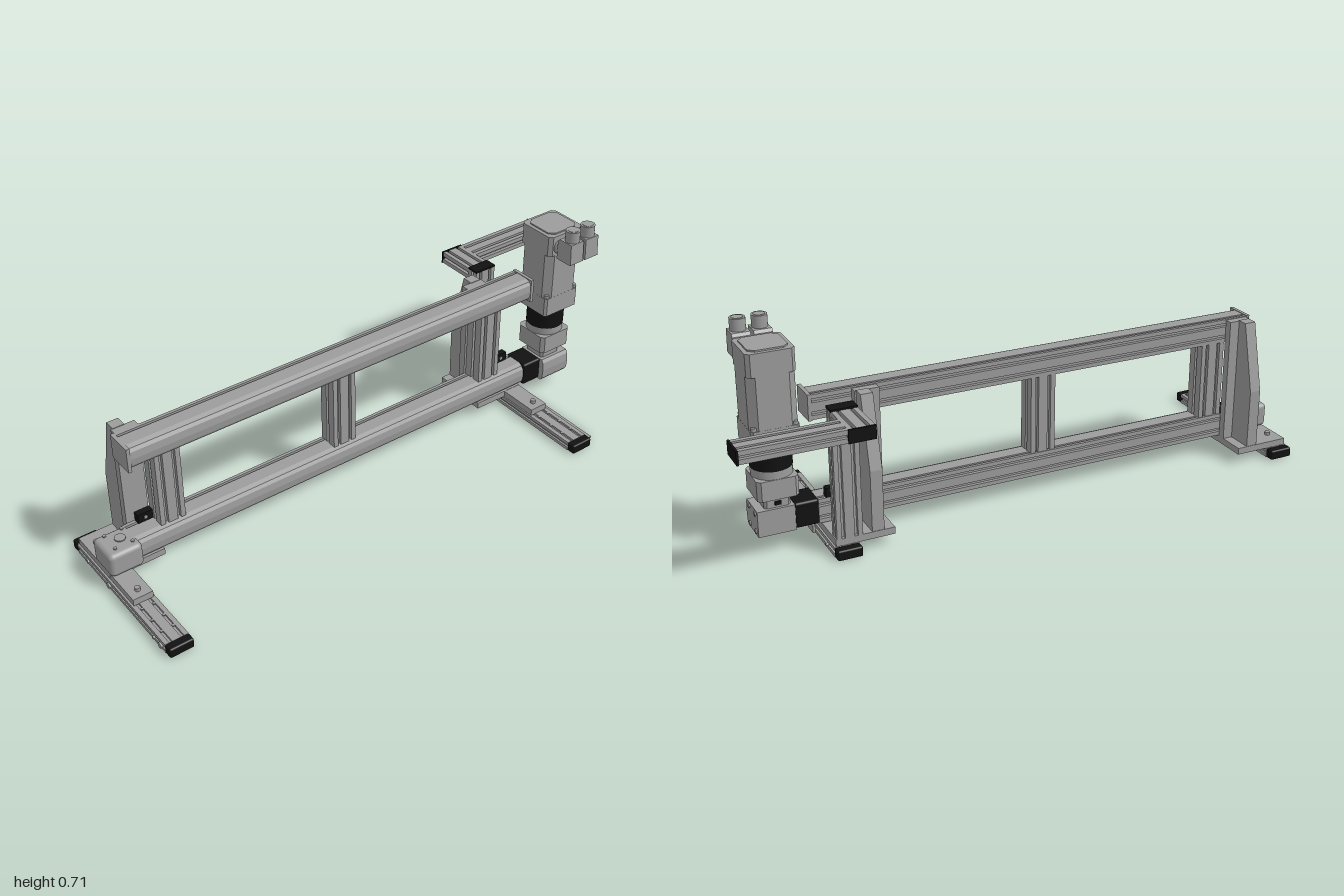
import * as THREE from 'three';
import { RoundedBoxGeometry } from 'three/addons/geometries/RoundedBoxGeometry.js';

const grey = new THREE.MeshStandardMaterial({ color: 0x9c9c9c });
grey.name = 'aluminium grey';
const black = new THREE.MeshStandardMaterial({ color: 0x111111 });
black.name = 'plastic black';

export function createModel() {
  const root = new THREE.Group();
  const add = (name, geo, mat = grey) => {
    const m = new THREE.Mesh(geo, mat);
    m.name = name;
    root.add(m);
    return m;
  };
  // Box given by its limits on each axis
  const box = (name, x0, x1, y0, y1, z0, z1, mat, r = 0) => {
    const s = [x1 - x0, y1 - y0, z1 - z0];
    const g = r ? new RoundedBoxGeometry(...s, 3, r) : new THREE.BoxGeometry(...s);
    g.translate((x0 + x1) / 2, (y0 + y1) / 2, (z0 + z1) / 2);
    return add(name, g, mat);
  };
  // Cylinder centred at a point along an axis
  const cyl = (name, r, len, axis, x, y, z, mat, sides = 32) => {
    const g = new THREE.CylinderGeometry(r, r, len, sides);
    if (axis === 'x') g.rotateZ(Math.PI / 2);
    if (axis === 'z') g.rotateX(Math.PI / 2);
    g.translate(x, y, z);
    return add(name, g, mat);
  };
  // Section of [z, y] points swept from x0 to x1
  const sweepX = (name, pts, x0, x1, mat) => {
    const shape = new THREE.Shape(pts.map(([z, y]) => new THREE.Vector2(-z, y)));
    const g = new THREE.ExtrudeGeometry(shape, { depth: x1 - x0, bevelEnabled: false });
    g.rotateY(Math.PI / 2).translate(x0, 0, 0);
    return add(name, g, mat);
  };
  // Extruded rail, slotted at given offsets on its long (nu) and short (nv) sides
  const railGeo = (w, h, len, nu = 1, nv = 1, sw = 0.011, sd = 0.012) => {
    const p = [];
    const side = (size, n, map) => {
      p.push(map(0, 0));
      for (let i = 0; i < n; i++) {
        const c = size * (i + 0.5) / n;
        p.push(map(c - sw / 2, 0), map(c - sw / 2, sd), map(c + sw / 2, sd), map(c + sw / 2, 0));
      }
    };
    side(w, nu, (a, d) => [a, d]);
    side(h, nv, (a, d) => [w - d, a]);
    side(w, nu, (a, d) => [w - a, h - d]);
    side(h, nv, (a, d) => [d, h - a]);
    const s = new THREE.Shape(p.map(([a, b]) => new THREE.Vector2(a - w / 2, b - h / 2)));
    return new THREE.ExtrudeGeometry(s, { depth: len, bevelEnabled: false }).translate(0, 0, -len / 2);
  };

  // Two long beams: slotted rear, smooth chamfered front cover
  const beam = (name, x0, x1, y) => sweepX(name, [
    [-0.093, 0], [-0.093, 0.014], [-0.081, 0.014], [-0.081, 0.026], [-0.093, 0.026],
    [-0.093, 0.056], [-0.081, 0.056], [-0.081, 0.068], [-0.093, 0.068], [-0.093, 0.082],
    [-0.082, 0.082], [-0.082, 0.072], [-0.073, 0.072], [-0.073, 0.082],
    [-0.025, 0.082], [-0.01, 0.076], [-0.003, 0.065], [0, 0.041],
    [-0.003, 0.017], [-0.01, 0.006], [-0.025, 0],
    [-0.045, 0], [-0.045, 0.01], [-0.057, 0.01], [-0.057, 0],
  ].map(([z, h]) => [z, h + y]), x0, x1);
  beam('lowerBeam', -0.9, 0.685, 0.06);
  beam('upperBeam', -0.885, 0.695, 0.41);
  box('upperBeamEndPlate', -0.895, -0.883, 0.408, 0.494, -0.095, 0.001);
  box('upperBeamEndPlate', 0.69, 0.702, 0.408, 0.494, -0.095, 0.001);

  // Uprights joining the beams
  for (const x of [-0.755, -0.097, 0.53]) {
    const post = add('beamUpright', railGeo(0.088, 0.07, 0.27, 2, 1));
    post.geometry.rotateX(Math.PI / 2).translate(x, 0.276, -0.055);
  }

  // Left end block of the lower beam with its cover disc and screws
  box('beamEndBlock', -1, -0.885, 0.058, 0.143, -0.095, 0.02, grey, 0.016);
  cyl('endBlockDisc', 0.018, 0.005, 'y', -0.93, 0.144, -0.045);
  for (const dx of [-0.035, 0.025]) for (const dz of [-0.035, 0.035])
    cyl('endBlockScrew', 0.006, 0.006, 'y', -0.93 + dx, 0.144, -0.045 + dz, grey, 12);

  // Feet and bracket assemblies; s points from the foot to the machine middle
  for (const [x, s] of [[-0.96, 1], [0.642, -1]]) {
    const span = (name, a, b, ...rest) => box(name, Math.min(x + s * a, x + s * b), Math.max(x + s * a, x + s * b), ...rest);
    add('footRail', railGeo(0.08, 0.033, 0.545, 2, 1, 0.01, 0.007)).position.set(x, 0.0165, 0.0575);
    span('footEndCap', -0.041, 0.041, 0, 0.034, 0.328, 0.36, black, 0.006);
    span('footEndCap', -0.041, 0.041, 0, 0.034, -0.247, -0.214, black, 0.006);
    span('footPlate', -0.033, 0.035, 0.032, 0.056, -0.02, 0.134);
    span('basePlate', -0.034, 0.16, 0.034, 0.057, -0.214, -0.01);
    for (const z of [0.102, -0.16]) cyl('footBolt', 0.009, 0.014, 'y', x, 0.061, z, grey, 16);
    for (const z of [0.16, 0.22, 0.275]) for (const d of [-0.02, 0.02])
      cyl('footScrew', 0.005, 0.003, 'y', x + d, 0.0335, z, grey, 12);
    for (const z of [0.303, 0.264, -0.012, -0.147])
      cyl('footSideScrew', z === 0.303 || z === -0.012 ? 0.01 : 0.005, 0.01, 'x', x - s * 0.04, 0.012, z, grey, 16);

    // Upright plate with a tapered rib
    span('bracketPlate', 0.08, 0.16, 0.056, 0.49, -0.121, -0.094);
    const a = x + s * 0.085, b = x + s * 0.125;
    sweepX('bracketRib', [[-0.118, 0.056], [-0.212, 0.056], [-0.212, 0.26], [-0.157, 0.492], [-0.118, 0.492]],
      Math.min(a, b), Math.max(a, b));
  }
  box('footSidePlate', 0.68, 0.72, 0, 0.004, 0.02, 0.325);
  for (const z of [0.303, -0.012]) box('footSideClip', 0.68, 0.69, 0, 0.024, z - 0.025, z + 0.025);

  // Small sensor clips over the lower beam
  for (const x of [-0.825, 0.633]) {
    box('sensorClip', x - 0.026, x + 0.026, 0.142, 0.174, -0.093, -0.07, black);
    cyl('sensorClipScrew', 0.006, 0.004, 'z', x, 0.158, -0.069, grey, 12);
  }

  // Rear post with the L-shaped cable arm
  add('rearPost', railGeo(0.084, 0.042, 0.422, 2, 1)).geometry
    .rotateX(Math.PI / 2).translate(0.63, 0.267, -0.193);
  box('rearPostCap', 0.587, 0.673, 0.478, 0.485, -0.215, -0.171, black);
  add('armRailBack', railGeo(0.084, 0.042, 0.14, 2, 1)).position.set(0.63, 0.459, -0.284);
  box('armBackCap', 0.587, 0.673, 0.437, 0.481, -0.361, -0.354, black);
  add('armRailSide', railGeo(0.084, 0.042, 0.322, 2, 1)).geometry
    .rotateY(Math.PI / 2).translate(0.833, 0.459, -0.315);
  box('armSideCap', 0.993, 1, 0.437, 0.481, -0.36, -0.271, black);

  // Coupling and corner gear block
  box('beamCoupling', 0.683, 0.762, 0.059, 0.144, -0.094, 0.003, black, 0.008);
  sweepX('gearBlock', [[-0.094, 0.056], [-0.094, 0.142], [0.012, 0.142], [0.02, 0.13], [0.023, 0.1], [0.02, 0.068], [0.012, 0.056]], 0.76, 0.88);
  for (const z of [-0.013, -0.073]) for (const y of [0.07, 0.13])
    cyl('gearBlockBolt', 0.008, 0.008, 'x', 0.88, y, z, grey, 16);

  // Gearbox and clutch below the motor
  const mx = 0.811, mz = -0.042;
  const square = (name, half, y0, y1, cut, mat) => {
    const h = half, c = half - cut;
    const s = new THREE.Shape([[h, -c], [h, c], [c, h], [-c, h], [-h, c], [-h, -c], [-c, -h], [c, -h]]
      .map(([u, v]) => new THREE.Vector2(u, v)));
    const g = new THREE.ExtrudeGeometry(s, { depth: y1 - y0, bevelEnabled: false });
    g.rotateX(-Math.PI / 2).translate(mx, y0, mz);
    return add(name, g, mat);
  };
  square('gearboxNeck', 0.042, 0.14, 0.18, 0.008);
  box('neckScrew', mx - 0.01, mx + 0.01, 0.152, 0.163, -0.091, -0.083, black);
  square('gearboxFlange', 0.066, 0.179, 0.245, 0.012);
  cyl('gearboxRing', 0.065, 0.027, 'y', mx, 0.258, mz);
  cyl('clutchSleeve', 0.066, 0.075, 'y', mx, 0.309, mz, black);

  // Motor with recessed corners and flange bolts
  square('motorFlange', 0.076, 0.346, 0.416, 0.008);
  square('motorBody', 0.0755, 0.415, 0.588, 0.024);
  square('motorHead', 0.0755, 0.586, 0.66, 0.012);
  square('motorTop', 0.062, 0.658, 0.665, 0.018);
  for (const u of [-1, 1]) for (const v of [-1, 1])
    cyl('motorBolt', 0.009, 0.012, 'y', mx + u * 0.064, 0.421, mz + v * 0.064, grey, 16);

  // Twin elbow connectors on the motor front
  for (const x of [0.778, 0.846]) {
    cyl('connectorStem', 0.026, 0.026, 'z', x, 0.617, 0.044);
    sweepX('connectorElbow', [[0.053, 0.588], [0.053, 0.655], [0.06, 0.665], [0.117, 0.665], [0.121, 0.59], [0.117, 0.588]], x - 0.029, x + 0.029);
    cyl('connectorCollar', 0.025, 0.042, 'y', x, 0.684, 0.091);
    cyl('connectorSocket', 0.018, 0.002, 'y', x, 0.7055, 0.091);
  }
  return root;
}
